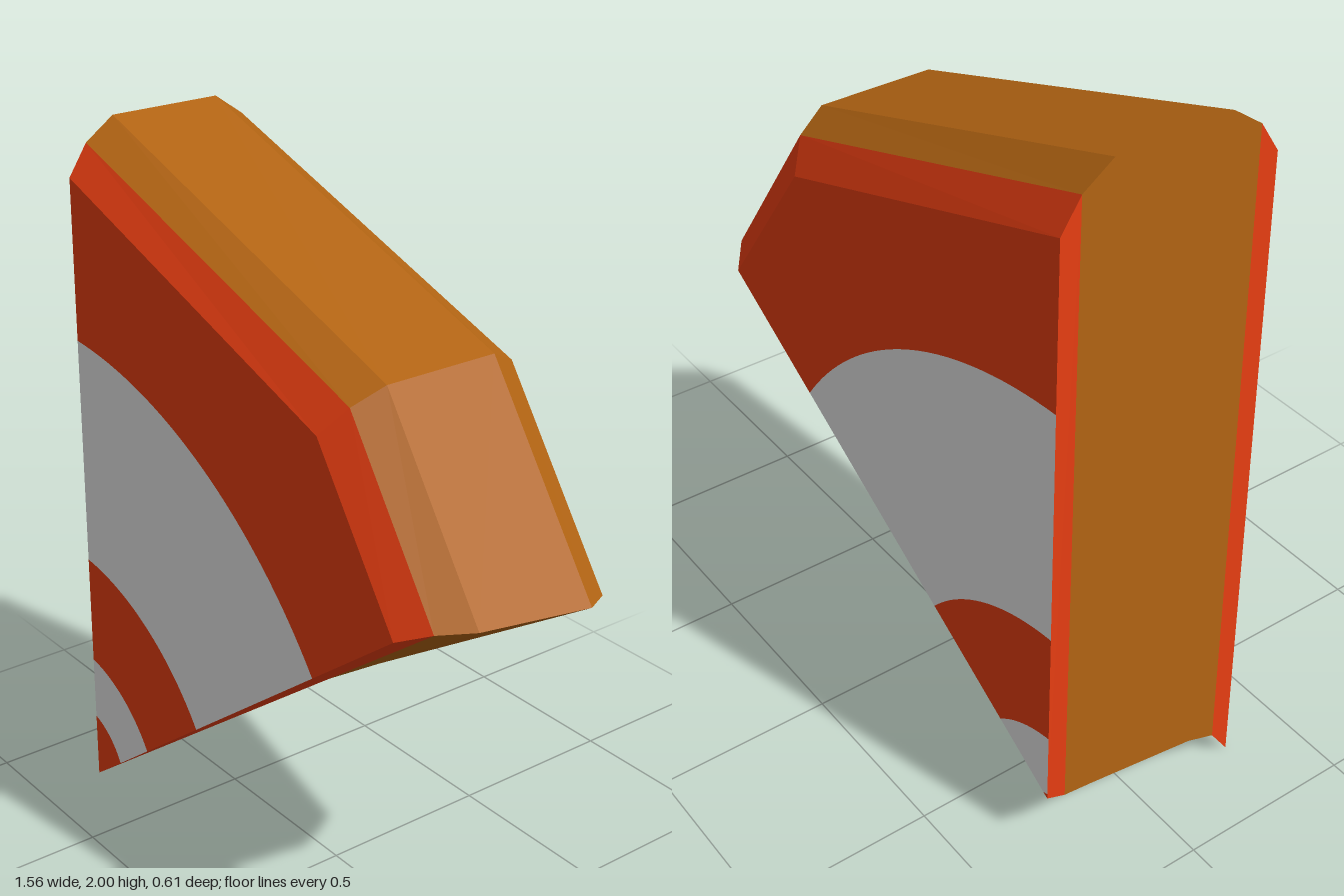
import * as THREE from 'three';

// Cross-sections along z: each lists tip, top, shoulder and right corner
const sections = [
  { z: 0.305, p: [[-0.78, 0], [-0.745, 1.855], [0.32, 1.485], [0.61, 1.065]] },
  { z: 0.25, p: [[-0.779, 0.08], [-0.744, 1.94], [0.375, 1.56], [0.69, 1.1]] },
  { z: 0.165, p: [[-0.778, 0.11], [-0.744, 2], [0.405, 1.605], [0.75, 1.105]] },
  { z: -0.165, p: [[-0.773, 0.155], [-0.748, 2], [0.405, 1.605], [0.78, 1.075]] },
  { z: -0.25, p: [[-0.772, 0.165], [-0.749, 1.94], [0.375, 1.56], [0.73, 1.06]] },
  { z: -0.305, p: [[-0.77, 0.185], [-0.75, 1.855], [0.32, 1.485], [0.66, 1.02]] },
];
const ringCentre = new THREE.Vector2(-0.83, 0.01);
const ringRadii = [0.2, 0.392, 0.722, 1.392];

function material(name, color) {
  const m = new THREE.MeshStandardMaterial({ color });
  m.name = name;
  return m;
}

// Flat-faced skin joining neighbouring sections
function skin(list) {
  const pos = [];
  for (let k = 0; k < list.length - 1; k++) {
    const f = list[k], b = list[k + 1];
    for (let i = 0; i < 4; i++) {
      const j = (i + 1) % 4;
      const P = [...f.p[i], f.z], Q = [...f.p[j], f.z];
      const Pb = [...b.p[i], b.z], Qb = [...b.p[j], b.z];
      pos.push(...P, ...Q, ...Pb, ...Q, ...Qb, ...Pb);
    }
  }
  const g = new THREE.BufferGeometry();
  g.setAttribute('position', new THREE.Float32BufferAttribute(pos, 3));
  g.computeVertexNormals();
  return g;
}

// Where a straight edge leaving the tip crosses a ring
function crossing(from, to, r) {
  const d = to.clone().sub(from).normalize();
  const o = from.clone().sub(ringCentre);
  const h = o.dot(d);
  return from.clone().addScaledVector(d, -h + Math.sqrt(h * h - o.lengthSq() + r * r));
}

// Arc of a ring from the upright edge to the slanted edge
function arc(tip, top, right, r) {
  const a = crossing(tip, top, r).sub(ringCentre).angle();
  let b = crossing(tip, right, r).sub(ringCentre).angle();
  if (b > Math.PI) b -= 2 * Math.PI;
  return Array.from({ length: 33 }, (_, i) => {
    const t = a + (b - a) * i / 32;
    return new THREE.Vector2(ringCentre.x + r * Math.cos(t), ringCentre.y + r * Math.sin(t));
  });
}

// Cut face made of concentric bands
function cutFace(section, name, colours, isBack) {
  const face = new THREE.Group();
  face.name = name;
  const [tip, top, shoulder, right] = section.p.map(([x, y]) => new THREE.Vector2(x, y));
  const edges = [[tip], ...ringRadii.map(r => arc(tip, top, right, r)), [top, shoulder, right]];
  for (let i = 0; i < edges.length - 1; i++) {
    const outline = [...edges[i + 1], ...edges[i].slice().reverse()];
    const g = new THREE.ShapeGeometry(new THREE.Shape(outline));
    if (isBack) {
      g.index.array.reverse();
      g.computeVertexNormals();
    }
    g.translate(0, 0, section.z);
    const band = new THREE.Mesh(g, colours[i % 2]);
    band.name = `${name}Band${i + 1}`;
    face.add(band);
  }
  return face;
}

export function createModel() {
  const red = material('red', 0xf04013);
  const white = material('white', 0xf1f1f1);
  const brown = material('brown', 0xb26413);

  const model = new THREE.Group();
  model.name = 'wedge';

  const add = (name, list, mat) => {
    const mesh = new THREE.Mesh(skin(list), mat);
    mesh.name = name;
    model.add(mesh);
  };
  // Brown body with a red bevelled rim on each side
  add('frontRim', sections.slice(0, 2), red);
  add('body', sections.slice(1, 5), brown);
  add('backRim', sections.slice(4, 6), red);

  model.add(cutFace(sections[0], 'frontFace', [red, white], false));
  model.add(cutFace(sections[5], 'backFace', [red, white], true));
  return model;
}
